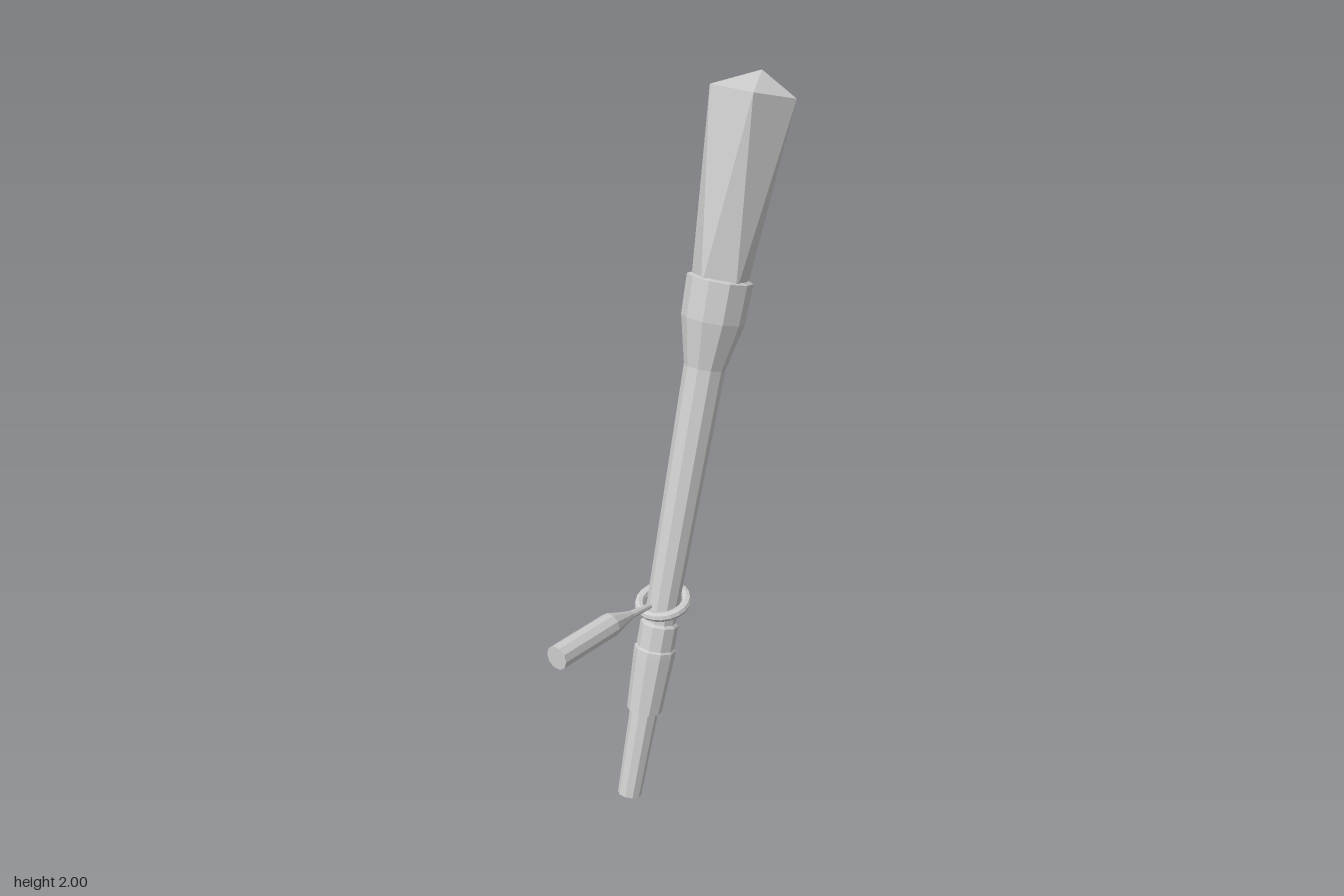
import * as THREE from 'three';

export function createModel() {
  const material = new THREE.MeshStandardMaterial({ color: 0xcccccc, flatShading: true });
  const model = new THREE.Group();

  function add(parent, name, geometry) {
    const mesh = new THREE.Mesh(geometry, material);
    mesh.name = name;
    parent.add(mesh);
    return mesh;
  }
  // turned part from [radius, height] pairs, bottom to top
  const turned = (points, sides = 10) =>
    new THREE.LatheGeometry(points.map(([r, y]) => new THREE.Vector2(r, y)), sides);

  // everything on the leaning axis
  const staff = new THREE.Group();
  staff.name = 'staff';
  staff.position.set(-0.18, 0.01, 0);
  staff.rotation.z = -THREE.MathUtils.degToRad(15);
  model.add(staff);

  add(staff, 'tail', turned([[0, 0], [0.034, 0], [0.042, 0.3], [0, 0.3]]));
  add(staff, 'grip', turned([[0, 0.265], [0.05, 0.265], [0.059, 0.44], [0.059, 0.455],
    [0.054, 0.46], [0.054, 0.53], [0.04, 0.54], [0, 0.54]]));
  // shaft widening into the hollow socket
  add(staff, 'shaft', turned([[0, 0.5], [0.044, 0.5], [0.057, 1.273], [0.087, 1.405],
    [0.09, 1.515], [0.077, 1.52], [0.072, 1.48], [0, 1.48]]));

  // faceted head: twisted pentagons with an off-centre peak
  const ring = (r, y, offset) => Array.from({ length: 5 }, (_, i) => {
    const a = (i + offset) * Math.PI * 0.4;
    return [r * Math.cos(a), y, r * Math.sin(a)];
  });
  const base = ring(0.079, 1.49, 0.5), rim = ring(0.119, 2.009, 0);
  const peak = [0.022, 2.065, 0], foot = [0, 1.49, 0], corners = [];
  for (let i = 0; i < 5; i++) {
    const j = (i + 1) % 5;
    corners.push(rim[i], rim[j], base[i], base[i], rim[j], base[j],
      peak, rim[j], rim[i], foot, base[i], base[j]);
  }
  const head = new THREE.BufferGeometry();
  head.setAttribute('position', new THREE.Float32BufferAttribute(corners.flat(), 3));
  head.computeVertexNormals();
  add(staff, 'crystalHead', head);

  // ring around the shaft
  const hoop = add(model, 'handleRing', new THREE.TorusGeometry(0.067, 0.014, 8, 20));
  hoop.position.set(-0.027, 0.585, 0);
  hoop.rotation.set(Math.PI / 2, THREE.MathUtils.degToRad(12), 0);

  // side handle along -x, its neck drooping towards the ring
  const handle = turned([[0, 0.085], [0.008, 0.085], [0.012, 0.165], [0.02, 0.2],
    [0.034, 0.25], [0.034, 0.462], [0, 0.462]], 10);
  handle.rotateZ(Math.PI / 2);
  const p = handle.attributes.position;
  for (let i = 0; i < p.count; i++) {
    const droop = THREE.MathUtils.clamp((p.getX(i) + 0.25) / 0.165, 0, 1);
    p.setY(i, p.getY(i) + 0.615 - 0.018 * droop);
  }
  handle.computeVertexNormals();
  add(model, 'sideHandle', handle);

  return model;
}
